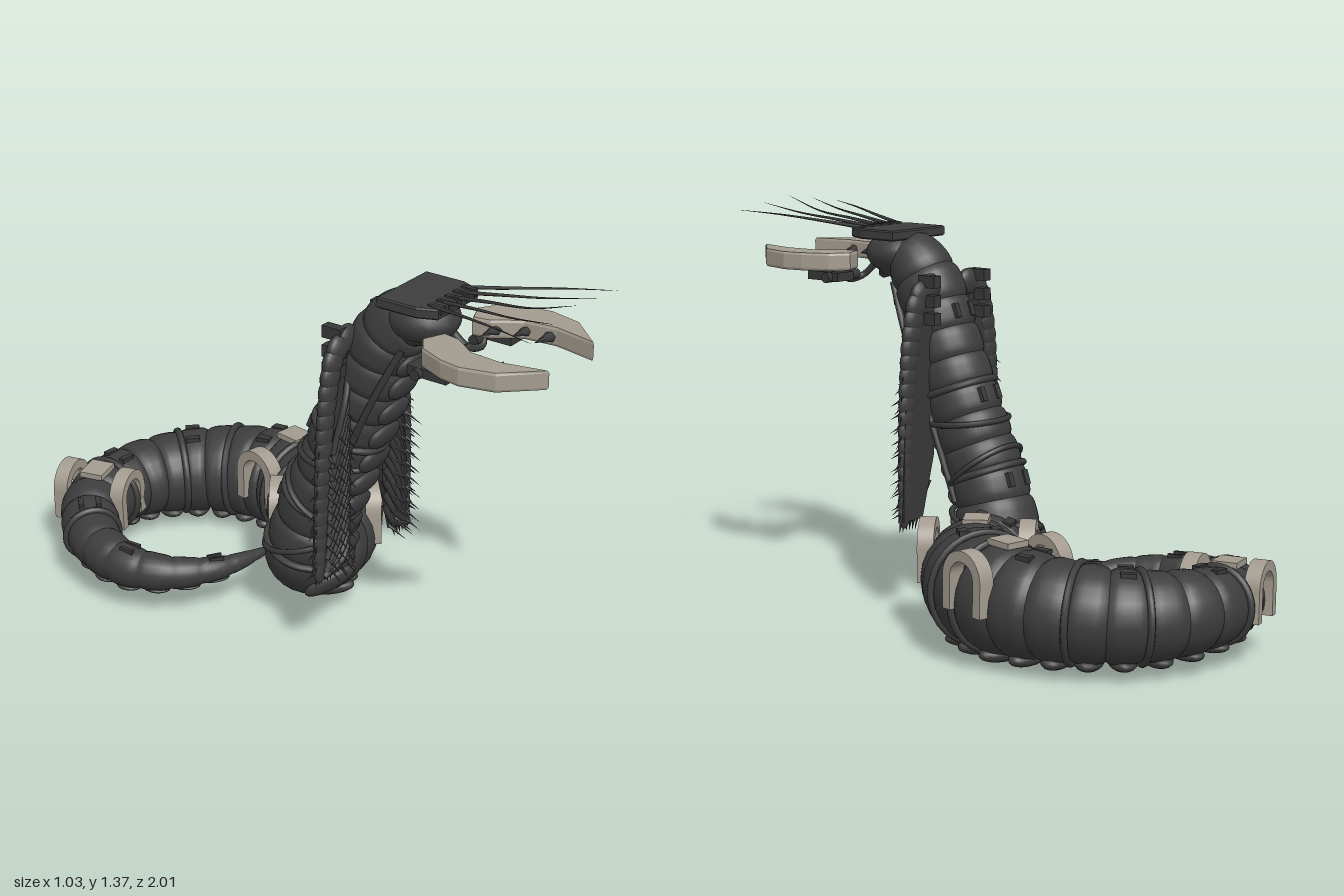
import * as THREE from 'three';
import { toCreasedNormals } from 'three/addons/utils/BufferGeometryUtils.js';

const V = (x, y, z) => new THREE.Vector3(x, y, z);
const mat = (name, color) => {
  const m = new THREE.MeshStandardMaterial({ color });
  m.name = name;
  return m;
};

// Spine from head to tail tip: x, y, z, radius, and how far the back leans to -z
const SPINE = [
  [-.13, 1.21, .53, .075, 0], [-.13, 1.2, .42, .1, .3], [-.13, 1.12, .345, .118, .7], [-.13, .95, .275, .122, .7],
  [-.13, .7, .175, .127, .7], [-.13, .42, .06, .132, .7], [-.1, .25, .01, .154, .4],
  [.07, .215, -.045, .175, 0], [.22, .217, -.17, .186, 0], [.308, .217, -.36, .18, 0], [.285, .21, -.58, .162, 0],
  [.165, .2, -.765, .147, 0], [-.02, .2, -.86, .132, 0], [-.22, .195, -.848, .115, 0], [-.375, .18, -.72, .093, 0],
  [-.443, .165, -.53, .076, 0], [-.4, .16, -.37, .06, 0], [-.27, .16, -.25, .04, 0], [-.13, .165, -.2, .02, 0],
  [-.04, .165, -.185, .005, 0],
];
const spine = new THREE.CatmullRomCurve3(SPINE.map((p) => V(p[0], p[1], p[2])));
spine.arcLengthDivisions = 600;

function frame(u) {
  const f = spine.getUtoTmapping(u) * (SPINE.length - 1);
  const i = Math.min(Math.floor(f), SPINE.length - 2), k = f - i;
  const mix = (c) => THREE.MathUtils.lerp(SPINE[i][c], SPINE[i + 1][c], k);
  const T = spine.getTangentAt(u), lean = mix(4);
  const side = V(0, 1 - lean, -lean).cross(T).normalize();
  return { p: spine.getPointAt(u), r: mix(3), T, side, up: T.clone().cross(side) };
}
function nearestU(x, y, z) {
  let best = 0, d = 9;
  for (let i = 0; i <= 400; i++) {
    const e = spine.getPointAt(i / 400).distanceTo(V(x, y, z));
    if (e < d) { d = e; best = i / 400; }
  }
  return best;
}

// Bulging segmented skin along the spine
function segmentedBody(segments) {
  const pos = [], idx = [], steps = 8, sides = 24, rows = segments * steps;
  for (let i = 0; i <= rows; i++) {
    const { p, r, side, up } = frame(i / rows);
    const s = (i % steps) / steps * 2 - 1;
    const R = r * (1 - .08 * s ** 4);
    for (let j = 0; j < sides; j++) {
      const a = j / sides * Math.PI * 2;
      const q = p.clone().addScaledVector(side, R * Math.cos(a)).addScaledVector(up, R * Math.sin(a));
      pos.push(q.x, q.y, q.z);
      if (i < rows) {
        const A = i * sides + j, B = i * sides + (j + 1) % sides;
        idx.push(A, B, A + sides, B, B + sides, A + sides);
      }
    }
  }
  const g = new THREE.BufferGeometry();
  g.setAttribute('position', new THREE.Float32BufferAttribute(pos, 3));
  g.setIndex(idx);
  return toCreasedNormals(g, .5);
}

// Tube that thins to a point at its far end
function taperedTube(points, radius, n = 14, sides = 6) {
  const curve = new THREE.CatmullRomCurve3(points);
  const g = new THREE.TubeGeometry(curve, n, radius, sides), P = g.attributes.position;
  for (let i = 0; i < P.count; i++) {
    const t = Math.floor(i / (sides + 1)) / n;
    const q = V(0, 0, 0).fromBufferAttribute(P, i).lerp(curve.getPointAt(t), t * .95);
    P.setXYZ(i, q.x, q.y, q.z);
  }
  return g;
}

export function createModel() {
  const root = new THREE.Group();
  root.name = 'armouredSerpent';
  const hide = mat('darkHide', 0x3d3d3d), trim = mat('blackTrim', 0x383838), bone = mat('paleBone', 0xa39b8f);
  const add = (name, geo, m) => {
    const o = new THREE.Mesh(geo, m);
    o.name = name;
    root.add(o);
    return o;
  };
  // Places a mesh relative to the spine: x = side, y = back, z = along
  const onSpine = (o, u, x = 0, y = 0) => {
    const { p, T, side, up } = frame(u);
    o.quaternion.setFromRotationMatrix(new THREE.Matrix4().makeBasis(side, up, T));
    o.position.copy(p).addScaledVector(side, x).addScaledVector(up, y);
    return o;
  };
  const spike = (name, a, b, r) => {
    const d = b.clone().sub(a);
    const o = add(name, new THREE.ConeGeometry(r, d.length(), 6), trim);
    o.position.copy(a).addScaledVector(d, .5);
    o.quaternion.setFromUnitVectors(V(0, 1, 0), d.normalize());
  };
  const tube = (name, pts, r, m, n = 16) =>
    add(name, new THREE.TubeGeometry(new THREE.CatmullRomCurve3(pts), n, r, 8), m);

  // Body, belly scutes, joint bands and back clips
  const N = 36;
  add('body', segmentedBody(N), hide);
  const ball = new THREE.SphereGeometry(1, 18, 12);
  for (let i = 2; i < N - 2; i++) {
    const u = (i + .5) / N, { r } = frame(u);
    onSpine(add('bellyScute', ball, hide), u, 0, -r * .93).scale.set(r * .63, r * .18, .048);
    if (i % 3 === 0) {
      for (const s of [-1, 1])
        onSpine(add('backClip', new THREE.BoxGeometry(r * .18, .02, .05), trim), u, s * r * .3, r * .94);
    }
  }
  for (const i of [6, 9, 11, 16, 17, 20, 22, 25, 28]) {
    const { r } = frame(i / N);
    onSpine(add('jointBand', new THREE.TorusGeometry(r * .99, .012, 8, 32), hide), i / N);
  }
  for (const [y, tilt, k] of [[.66, .3, 1.05], [.5, -.3, 1.05], [.33, .5, 1.12]]) {
    const u = nearestU(-.13, y, y * .42 - .1);
    onSpine(add('hose', new THREE.TorusGeometry(frame(u).r * k, .01, 8, 32), trim), u).rotateX(tilt);
  }

  // Pale saddles: an arch on each flank and a plate on top
  const arch = new THREE.Shape();
  arch.moveTo(-.09, -.11);
  arch.lineTo(-.055, -.11);
  arch.lineTo(-.055, 0);
  arch.absarc(0, 0, .055, Math.PI, 0, true);
  arch.lineTo(.055, -.11);
  arch.lineTo(.09, -.11);
  arch.lineTo(.09, 0);
  arch.absarc(0, 0, .09, 0, Math.PI, false);
  const archGeo = toCreasedNormals(new THREE.ExtrudeGeometry(arch,
    { depth: .055, bevelEnabled: false, curveSegments: 16 }).translate(0, 0, -.0275).rotateY(Math.PI / 2), .6);
  for (const [x, z, k, lift] of [[.1, -.07, 1, .095], [.305, -.355, 1, .095], [-.185, -.85, .95, .055]]) {
    const u = nearestU(x, .21, z), { r } = frame(u);
    // the inner flank arch sits a little deeper than the outer one
    for (const [s, reach] of [[-1, .9], [1, .96]]) {
      onSpine(add('flankArch', archGeo, bone), u, s * r * reach, lift).scale.setScalar(k);
    }
    onSpine(add('saddlePlate', new THREE.BoxGeometry(.085, .02, .1), bone), u, 0, r + .004);
  }

  // Head with a flat crest and long feelers
  const head = add('head', ball, hide);
  head.position.set(-.13, 1.215, .47);
  head.scale.set(.115, .075, .12);
  const crest = new THREE.Shape([[-.13, .39], [.13, .39], [.13, .53], [.105, .59], [-.105, .59], [-.13, .53]]
    .map(([x, z]) => new THREE.Vector2(x - .13, -z)));
  add('crest', new THREE.ExtrudeGeometry(crest, { depth: .025, bevelSize: .005, bevelThickness: .005, bevelSegments: 1 })
    .rotateX(-Math.PI / 2).translate(0, 1.272, 0), hide);
  for (let i = -2; i <= 2; i++) {
    const x0 = -.13 + i * .045, x1 = -.13 + i * .124, y = 1.38 - Math.abs(i) * .017;
    add('feeler', taperedTube([V(x0, 1.3, .55), V(x0 + (x1 - x0) * .3, 1.318, .7),
      V(x0 + (x1 - x0) * .65, 1.335, .85), V(x1, y, 1)], .0075), trim);
    add('feelerSocket', new THREE.BoxGeometry(.02, .025, .05), trim).position.set(x0, 1.295, .575);
  }

  for (const s of [-1, 1]) {
    const X = (u) => -.13 + s * u;

    // Mandible, its mount and teeth
    const jaw = new THREE.Shape([[.15, .57], [.21, .61], [.25, .7], [.262, .77], [.235, .88], [.13, .99],
      [.16, .85], [.15, .74], [.09, .655], [.08, .6]].map(([u, z]) => new THREE.Vector2(X(u), -z)));
    add('mandible', new THREE.ExtrudeGeometry(jaw, { depth: .045, bevelSize: .004, bevelThickness: .008, bevelSegments: 1 })
      .rotateX(-Math.PI / 2).translate(0, 1.165, 0), bone);
    const mount = add('mandibleMount', new THREE.CylinderGeometry(.018, .018, .16, 12).rotateZ(Math.PI / 2), trim);
    mount.position.set(X(.16), 1.138, .6);
    add('mountPlate', new THREE.BoxGeometry(.08, .03, .14), trim).position.set(X(.18), 1.14, .63);
    tube('mandibleHose', [V(X(.03), 1.19, .54), V(X(.05), 1.13, .6), V(X(.1), 1.12, .62), V(X(.14), 1.16, .6)], .012, trim);
    for (const [u, z] of [[.12, .67], [.17, .75], [.17, .83]])
      spike('mandibleTooth', V(X(u), 1.185, z), V(X(u - .085), 1.185, z - .015), .022);

    // Hood flap: membrane, outer limb, ribs and bristles
    const edge = new THREE.CatmullRomCurve3([V(X(.1), 1.13, .25), V(X(.175), 1.09, .25), V(X(.212), .98, .25),
      V(X(.236), .8, .25), V(X(.25), .58, .25), V(X(.257), .34, .25)]);
    const flap = new THREE.Shape([...edge.getPoints(20), V(X(.16), .34, 0), V(X(.1), .55, 0), V(X(.08), 1.05, 0)]
      .map((p) => new THREE.Vector2(p.x, p.y)));
    add('hoodMembrane', new THREE.ExtrudeGeometry(flap, { depth: .02, bevelEnabled: false }).translate(0, 0, .235), trim);
    for (let i = 0; i < 18; i++) {
      const u = (i + .5) / 18, k = 1 - i * .026;
      const joint = add('hoodLimb', ball, hide);
      joint.position.copy(edge.getPointAt(u)).add(V(-s * .02, 0, 0));
      joint.scale.set(.047 * k, .05, .027 * k);
      joint.quaternion.setFromUnitVectors(V(0, 1, 0), edge.getTangentAt(u));
    }
    for (let i = 0; i < 13; i++) {
      const y = 1.0 - i * .045, end = V(X(.19 + i * .004), Math.max(y - .24, .34), .265);
      tube('hoodRib', [V(X(.1), y, .26), V(X(.14), y - .08, .275), end], .011, i % 2 ? hide : trim, 8);
      for (let j = 0; j < 3; j++) {
        const a = V(X(.13 + j * .04), Math.max(y - .1 - j * .07, .37), .26);
        spike('frontBristle', a, a.clone().add(V(s * .012, -.04, .065)), .006);
      }
    }
    for (let i = 0; i < 22; i++) {
      const p = edge.getPointAt(.4 + i * .027);
      spike('edgeBristle', p, p.clone().add(V(s * .03, -.028, (i % 3 - 1) * .015)), .005);
    }
    for (let i = 0; i < 6; i++) {
      const a = V(X(.17 + i * .016), .35, .25);
      spike('hemBristle', a, a.clone().add(V(s * .012, -.05, 0)), .007);
    }

    // Shoulder lugs behind the hood, cable along the neck
    for (const y of [1.02, 1.08, 1.145])
      add('shoulderLug', new THREE.BoxGeometry(.035, .04, .07), trim).position.set(X(.13), y, .225);
    tube('neckCable', [V(X(.07), 1.12, .44), V(X(.1), .95, .36), V(X(.11), .7, .25), V(X(.11), .4, .13)], .012, trim, 24);
  }
  return root;
}
